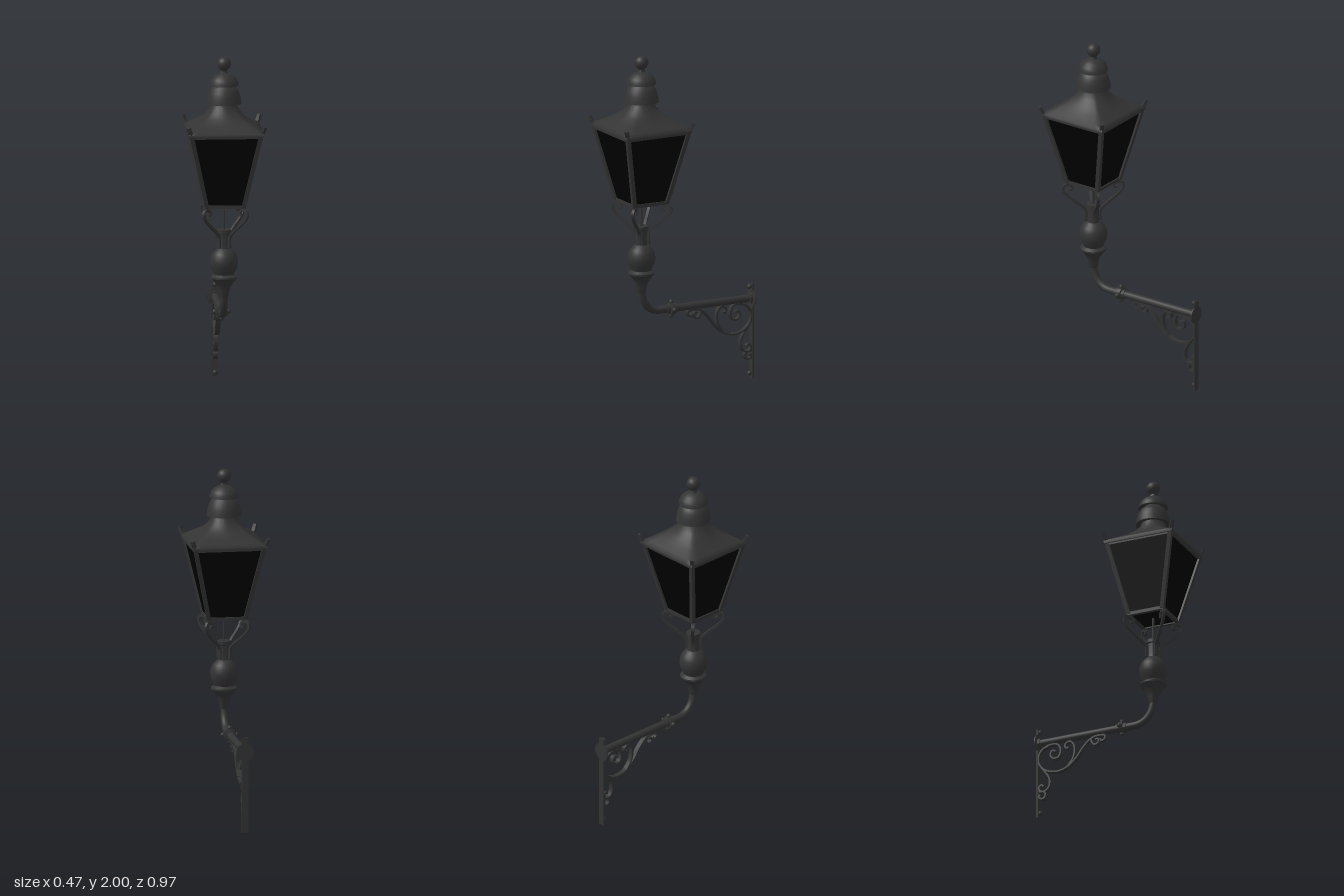
import * as THREE from 'three';
import { toCreasedNormals } from 'three/addons/utils/BufferGeometryUtils.js';

const iron = new THREE.MeshStandardMaterial({ color: 0x333333 });
iron.name = 'cast iron';
const glass = new THREE.MeshStandardMaterial({ color: 0x000000 });
glass.name = 'dark glass';

const V = (x, y, z) => new THREE.Vector3(x, y, z);
const LZ = 0.252; // lantern axis
const ARM_Y = 0.475;

function add(parent, name, geo, mat = iron) {
  const m = new THREE.Mesh(geo, mat);
  m.name = name;
  parent.add(m);
  return m;
}

// turned part from [radius, height] pairs, bottom to top
function turned(profile, seg = 28) {
  const pts = profile.map(([r, y]) => new THREE.Vector2(r, y));
  return toCreasedNormals(new THREE.LatheGeometry(pts, seg), 0.7);
}

// square bar between two points
function bar(parent, name, a, b, w) {
  const m = add(parent, name, new THREE.BoxGeometry(w, a.distanceTo(b), w));
  m.position.copy(a).lerp(b, 0.5);
  m.quaternion.setFromUnitVectors(V(0, 1, 0), b.clone().sub(a).normalize());
}

// flat strap that follows a curve in the xy plane
function strap(points, thick, width) {
  const curve = new THREE.CatmullRomCurve3(points.map(([x, y]) => V(x, y, 0)), false, 'centripetal');
  const n = points.length * 5;
  const left = [], right = [];
  for (let i = 0; i <= n; i++) {
    const p = curve.getPoint(i / n), t = curve.getTangent(i / n);
    const ox = -t.y * thick / 2, oy = t.x * thick / 2;
    left.push(new THREE.Vector2(p.x + ox, p.y + oy));
    right.unshift(new THREE.Vector2(p.x - ox, p.y - oy));
  }
  const geo = new THREE.ExtrudeGeometry(new THREE.Shape([...left, ...right]), { depth: width, bevelEnabled: false });
  geo.translate(0, 0, -width / 2);
  return toCreasedNormals(geo, 0.7);
}

// roof that changes from a square eave to a round neck
function roofGeometry() {
  const profile = [[0.001, 1.562], [0.215, 1.562], [0.217, 1.58], [0.195, 1.594], [0.16, 1.619],
    [0.125, 1.648], [0.097, 1.68], [0.078, 1.71], [0.066, 1.74]];
  const geo = new THREE.LatheGeometry(profile.map(([r, y]) => new THREE.Vector2(r, y)), 48);
  const p = geo.attributes.position;
  for (let i = 0; i < p.count; i++) {
    const x = p.getX(i), y = p.getY(i), z = p.getZ(i);
    const r = Math.hypot(x, z), big = Math.max(Math.abs(x), Math.abs(z));
    const square = 1 - THREE.MathUtils.smoothstep(y, 1.59, 1.71);
    const k = 1 + (r / big - 1) * square;
    p.setX(i, x * k);
    p.setZ(i, z * k);
  }
  return toCreasedNormals(geo, 1.15);
}

function makeLantern() {
  const g = new THREE.Group();
  g.name = 'lantern';
  g.position.z = LZ;

  // tapering glass body
  const pane = new THREE.CylinderGeometry(0.199 * Math.SQRT2, 0.105 * Math.SQRT2, 0.43, 4, 1);
  pane.rotateY(Math.PI / 4);
  add(g, 'glass', toCreasedNormals(pane, 0.3), glass).position.y = 1.35;

  // roof and stacked vents
  add(g, 'roof', roofGeometry());
  add(g, 'lowerVent', turned([[0.055, 1.735], [0.101, 1.728], [0.099, 1.745], [0.094, 1.77], [0.086, 1.797],
    [0.073, 1.82], [0.055, 1.832], [0.045, 1.85]]));
  add(g, 'upperVent', turned([[0.045, 1.842], [0.085, 1.834], [0.083, 1.85], [0.074, 1.87], [0.057, 1.888],
    [0.036, 1.9], [0.022, 1.905], [0.018, 1.918], [0.024, 1.93]]));
  add(g, 'topBall', new THREE.SphereGeometry(0.04, 24, 16)).position.y = 1.96;

  // frame, corner horns and supporting scrolls
  for (let i = 0; i < 4; i++) {
    const side = new THREE.Group();
    side.name = 'lanternCorner';
    side.rotation.y = i * Math.PI / 2;
    g.add(side);
    bar(side, 'cornerPost', V(0.106, 1.135, 0.106), V(0.202, 1.575, 0.202), 0.024);
    bar(side, 'bottomRail', V(-0.114, 1.138, 0.105), V(0.114, 1.138, 0.105), 0.02);
    bar(side, 'topRail', V(-0.205, 1.561, 0.2), V(0.205, 1.561, 0.2), 0.018);

    const diagonal = new THREE.Group();
    diagonal.name = 'cornerOrnament';
    diagonal.rotation.y = -Math.PI / 4;
    side.add(diagonal);
    add(diagonal, 'cornerHorn', strap([[0.27, 1.572], [0.29, 1.582], [0.303, 1.602], [0.313, 1.624]], 0.017, 0.022));
    add(diagonal, 'supportScroll', strap([[0.042, 0.885], [0.044, 0.95], [0.075, 0.985], [0.125, 1.025], [0.165, 1.065],
      [0.178, 1.095], [0.165, 1.117], [0.14, 1.118], [0.122, 1.103], [0.125, 1.088], [0.14, 1.088]], 0.014, 0.016));
  }
  add(g, 'gasPipe', new THREE.CylinderGeometry(0.007, 0.007, 0.18, 10)).position.y = 1.05;
  return g;
}

function makeArm() {
  const g = new THREE.Group();
  g.name = 'arm';

  // socket, ball and bell under the lantern
  add(g, 'socketAndBall', turned([[0.018, 0.58], [0.024, 0.595], [0.03, 0.625], [0.038, 0.655], [0.056, 0.682],
    [0.076, 0.705], [0.076, 0.715], [0.058, 0.728], [0.066, 0.746], [0.078, 0.775], [0.081, 0.8], [0.077, 0.828],
    [0.066, 0.852], [0.048, 0.871], [0.036, 0.88], [0.034, 0.9], [0.034, 0.965], [0.041, 0.97], [0.041, 0.99],
    [0.001, 0.99]])).position.z = LZ;

  // bent pipe
  const path = new THREE.CurvePath();
  path.add(new THREE.LineCurve3(V(0, 0.63, LZ), V(0, 0.6, LZ)));
  path.add(new THREE.CubicBezierCurve3(V(0, 0.6, LZ), V(0, 0.53, LZ - 0.005), V(0, ARM_Y, 0.205), V(0, ARM_Y, 0.13)));
  path.add(new THREE.LineCurve3(V(0, ARM_Y, 0.13), V(0, ARM_Y, -0.475)));
  add(g, 'bentPipe', new THREE.TubeGeometry(path, 90, 0.022, 16));

  // collar with bolts around the pipe
  const collar = new THREE.Group();
  collar.name = 'collar';
  collar.position.set(0, ARM_Y, 0.055);
  g.add(collar);
  const ring = turned([[0.02, -0.034], [0.027, -0.034], [0.027, -0.014], [0.037, -0.012], [0.037, 0.012],
    [0.027, 0.014], [0.027, 0.034], [0.02, 0.034]]);
  add(collar, 'collarRing', ring.rotateX(Math.PI / 2));
  for (let i = 0; i < 4; i++) {
    const a = i * Math.PI / 2;
    add(collar, 'collarKnob', new THREE.SphereGeometry(0.014, 12, 8)).position.set(Math.cos(a) * 0.04, Math.sin(a) * 0.04, 0);
  }
  return g;
}

function makeBracket() {
  const g = new THREE.Group();
  g.name = 'wallBracket';

  // wall plate, round flange and bolts
  add(g, 'wallPlate', new THREE.BoxGeometry(0.038, 0.56, 0.008)).position.set(0, 0.28, -0.476);
  const flange = turned([[0.001, -0.48], [0.052, -0.48], [0.052, -0.474], [0.03, -0.471], [0.03, -0.456], [0.02, -0.456]]);
  add(g, 'wallFlange', flange.rotateX(Math.PI / 2)).position.y = ARM_Y;
  for (const y of [0.03, 0.545]) {
    const bolt = add(g, 'wallBolt', new THREE.SphereGeometry(0.015, 12, 8));
    bolt.position.set(0, y, -0.463);
  }

  // scrollwork, drawn as [z, y] and turned into the side plane
  const scrolls = new THREE.Group();
  scrolls.name = 'scrollwork';
  scrolls.rotation.y = -Math.PI / 2;
  g.add(scrolls);
  const paths = {
    mainScroll: [[-0.08, 0.43], [-0.07, 0.415], [-0.052, 0.425], [-0.05, 0.445], [-0.085, 0.452], [-0.13, 0.445],
      [-0.18, 0.405], [-0.235, 0.335], [-0.3, 0.285], [-0.37, 0.275], [-0.43, 0.297], [-0.468, 0.345],
      [-0.468, 0.395], [-0.445, 0.43], [-0.405, 0.447]],
    smallCurl: [[-0.14, 0.44], [-0.125, 0.405], [-0.105, 0.4], [-0.09, 0.415], [-0.095, 0.433], [-0.112, 0.43]],
    leftCurl: [[-0.285, 0.295], [-0.255, 0.335], [-0.242, 0.385], [-0.25, 0.43], [-0.275, 0.45], [-0.3, 0.437],
      [-0.298, 0.413], [-0.278, 0.41]],
    middleCurl: [[-0.44, 0.435], [-0.4, 0.45], [-0.35, 0.445], [-0.33, 0.405], [-0.345, 0.365], [-0.375, 0.36],
      [-0.395, 0.383], [-0.385, 0.41], [-0.362, 0.405]],
    lowerScroll: [[-0.455, 0.32], [-0.43, 0.285], [-0.403, 0.24], [-0.402, 0.195], [-0.425, 0.165], [-0.457, 0.165],
      [-0.468, 0.188], [-0.452, 0.207], [-0.438, 0.192]],
    bottomCurl: [[-0.47, 0.165], [-0.435, 0.158], [-0.427, 0.135], [-0.445, 0.117], [-0.467, 0.127], [-0.462, 0.147]],
  };
  for (const [name, pts] of Object.entries(paths)) add(scrolls, name, strap(pts, 0.01, 0.028));
  return g;
}

export function createModel() {
  const model = new THREE.Group();
  model.name = 'wallLantern';
  model.add(makeLantern(), makeArm(), makeBracket());
  return model;
}
